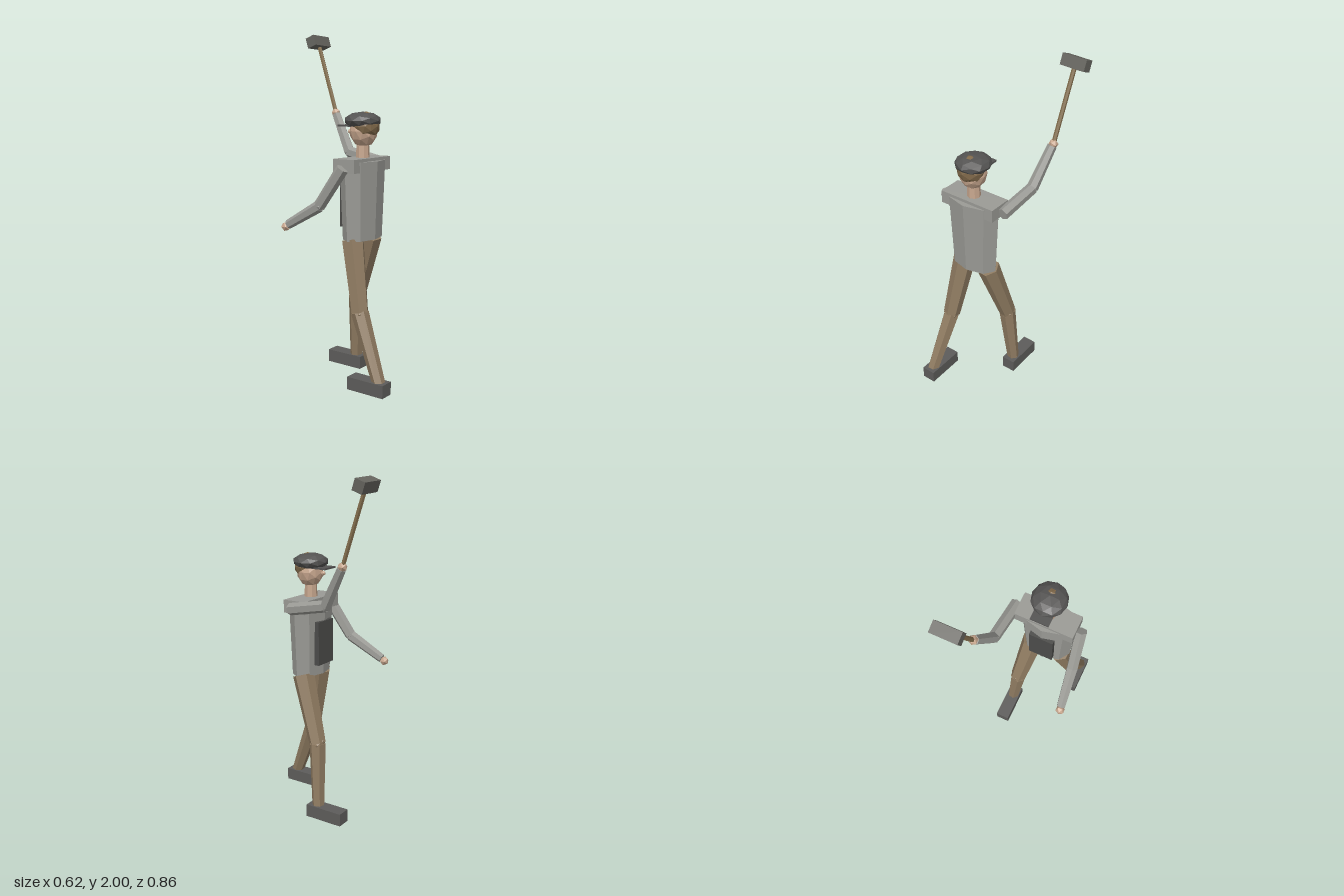
import * as THREE from 'three';

const mat = (name, color) => {
  const m = new THREE.MeshStandardMaterial({ color, flatShading: true });
  m.name = name;
  return m;
};

export function createModel() {
  const shirt = mat('shirt grey', 0x9a9a95);
  const trousers = mat('trouser brown', 0x8f7b61);
  const skin = mat('skin', 0xc8a78e);
  const hairMat = mat('hair brown', 0x80694a);
  const capMat = mat('cap charcoal', 0x545352);
  const boots = mat('boot grey', 0x5d5c5a);
  const apronMat = mat('apron dark grey', 0x4c4c4a);
  const wood = mat('handle wood', 0x85704f);
  const iron = mat('hammer iron', 0x65645e);

  const model = new THREE.Group();
  model.name = 'hammerWorker';
  const UP = new THREE.Vector3(0, 1, 0);

  const add = (name, geometry, material, [x, y, z], parent = model) => {
    const mesh = new THREE.Mesh(geometry, material);
    mesh.name = name;
    mesh.position.set(x, y, z);
    parent.add(mesh);
    return mesh;
  };
  const box = (name, size, material, at) => add(name, new THREE.BoxGeometry(...size), material, at);
  const ball = (name, r, detail, material, at, scale = [1, 1, 1], parent = model) => {
    const mesh = add(name, new THREE.IcosahedronGeometry(r, detail), material, at, [].concat(parent)[0]);
    mesh.scale.set(...scale);
    return mesh;
  };
  // Tapered rod from a to b
  const rod = (name, a, b, ra, rb, sides, material, parent = model) => {
    const p = new THREE.Vector3(...a), q = new THREE.Vector3(...b);
    const dir = q.clone().sub(p);
    const mid = p.clone().add(q).multiplyScalar(0.5);
    const mesh = add(name, new THREE.CylinderGeometry(rb, ra, dir.length(), sides), material, mid.toArray(), parent);
    mesh.quaternion.setFromUnitVectors(UP, dir.normalize());
    return mesh;
  };
  // Two-segment limb with a joint
  const limb = (name, [a, b, c], [ra, rb, rc], material) => {
    const g = new THREE.Group();
    g.name = name;
    model.add(g);
    rod(name + 'Upper', a, b, ra, rb, 6, material, g);
    rod(name + 'Lower', b, c, rb, rc, 6, material, g);
    ball(name + 'Joint', rb, 0, material, b, [1, 1, 1], g);
  };

  // Torso, shoulders and apron; the figure looks towards -z
  const cx = -0.04, cz = 0.145;
  add('torso', new THREE.CylinderGeometry(0.17, 0.147, 0.44, 8), shirt, [cx, 1.06, cz]).scale.z = 0.59;
  box('shoulders', [0.352, 0.075, 0.142], shirt, [cx, 1.26, 0.141]);
  box('apron', [0.147, 0.26, 0.03], apronMat, [cx, 1.035, 0.055]);

  // Head
  add('neck', new THREE.CylinderGeometry(0.036, 0.038, 0.12, 8), skin, [cx, 1.335, cz]);
  ball('head', 0.08, 1, skin, [cx, 1.445, 0.15], [0.97, 1.14, 1]);
  ball('nose', 0.015, 0, skin, [cx, 1.44, 0.058]);
  ball('hair', 0.08, 1, hairMat, [cx, 1.473, 0.167], [1, 1, 0.95]);
  ball('cap', 0.102, 1, capMat, [cx, 1.503, cz], [1, 0.48, 1.03]);
  box('capBrim', [0.107, 0.01, 0.1], capMat, [cx, 1.473, 0.06]);

  // Arms and hands
  limb('leftArm', [[0.157, 1.253, 0.15], [0.175, 1.303, -0.105], [0.212, 1.525, -0.232]],
    [0.036, 0.034, 0.027], shirt);
  limb('rightArm', [[-0.235, 1.25, 0.15], [-0.257, 1.035, 0.005], [-0.282, 0.915, -0.2]],
    [0.036, 0.034, 0.027], shirt);
  ball('leftHand', 0.028, 0, skin, [0.215, 1.535, -0.238]);
  ball('rightHand', 0.028, 0, skin, [-0.285, 0.902, -0.216]);

  // Legs and boots
  limb('leftLeg', [[0.05, 0.84, 0.138], [0.095, 0.45, 0.008], [0.127, 0.06, -0.018]],
    [0.066, 0.05, 0.036], trousers);
  limb('rightLeg', [[-0.123, 0.84, 0.138], [-0.17, 0.445, 0.222], [-0.208, 0.07, 0.38]],
    [0.066, 0.05, 0.036], trousers);
  box('leftBoot', [0.083, 0.075, 0.237], boots, [0.127, 0.0375, -0.08]);
  box('rightBoot', [0.083, 0.073, 0.236], boots, [-0.206, 0.053, 0.309]);

  // Hammer
  const handle = rod('hammerHandle', [0.215, 1.525, -0.235], [0.235, 1.95, -0.386], 0.013, 0.013, 6, wood);
  const head = box('hammerHead', [0.15, 0.063, 0.063], iron, [0.236, 1.96, -0.39]);
  head.quaternion.copy(handle.quaternion);

  return model;
}
